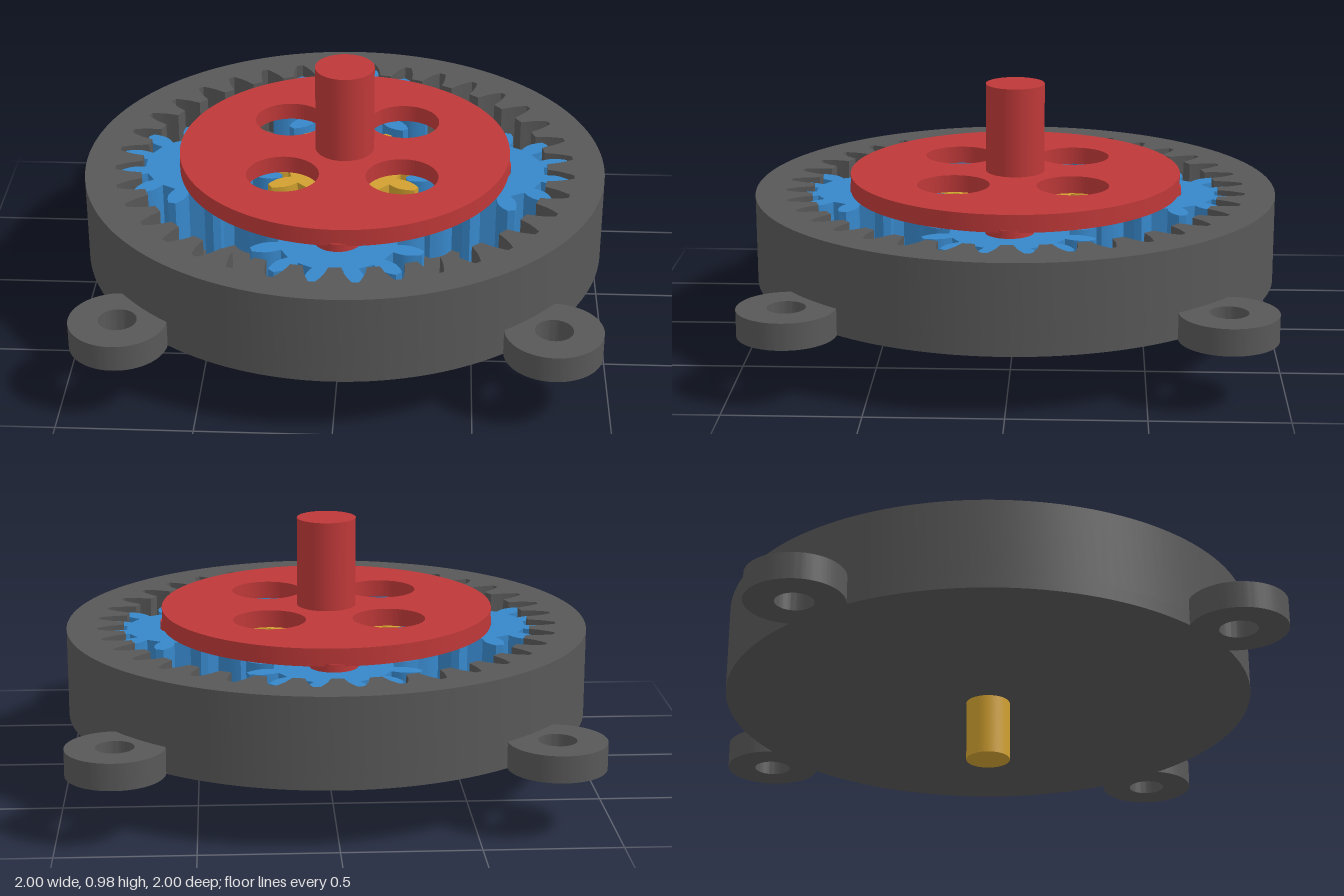
import * as THREE from 'three';
import { toCreasedNormals } from 'three/addons/utils/BufferGeometryUtils.js';

const steel = new THREE.MeshStandardMaterial({ name: 'housing grey', color: 0x585858 });
const red = new THREE.MeshStandardMaterial({ name: 'carrier red', color: 0xbe3838 });
const blue = new THREE.MeshStandardMaterial({ name: 'planet blue', color: 0x3787ca });
const gold = new THREE.MeshStandardMaterial({ name: 'sun gold', color: 0xd0a030 });

// Tooth flanks as [radius, half angle] from base to tip.
const PINION = [[0.219, 0.125], [0.245, 0.137], [0.262, 0.135], [0.277, 0.124], [0.3, 0.09], [0.323, 0.045]];
const RING_GAP = [[0.784, 0.058], [0.83, 0.0436], [0.86, 0.029], [0.885, 0.0145]];
const ORBIT = 0.553; // sun to planet distance

// Closed outline of a gear; phase is the angle of the first tooth.
function gearOutline(teeth, flank, phase) {
  const points = [];
  for (let i = 0; i < teeth; i++) {
    const a = phase + (i / teeth) * Math.PI * 2;
    const add = (r, t) => points.push(new THREE.Vector2(r * Math.cos(t), r * Math.sin(t)));
    flank.forEach(([r, h]) => add(r, a - h));
    [...flank].reverse().forEach(([r, h]) => add(r, a + h));
  }
  return points;
}

function circle(r, x = 0, y = 0, Type = THREE.Path) {
  return new Type().absarc(x, y, r, 0, Math.PI * 2, false);
}

// Extrude a flat outline upward between two heights.
function slab(name, shape, y0, y1, material) {
  const geo = new THREE.ExtrudeGeometry(shape, { depth: y1 - y0, bevelEnabled: false, curveSegments: 72 });
  geo.rotateX(-Math.PI / 2);
  geo.translate(0, y0, 0);
  const mesh = new THREE.Mesh(toCreasedNormals(geo, 0.35), material);
  mesh.name = name;
  return mesh;
}

function rod(name, r, y0, y1, material, segments = 48) {
  const mesh = new THREE.Mesh(new THREE.CylinderGeometry(r, r, y1 - y0, segments), material);
  mesh.position.y = (y0 + y1) / 2;
  mesh.name = name;
  return mesh;
}

export function createModel() {
  const model = new THREE.Group();
  model.name = 'planetaryGearbox';

  // Housing: floor plus internally toothed ring
  const housing = new THREE.Group();
  housing.name = 'housing';
  const ring = circle(1, 0, 0, THREE.Shape);
  ring.holes.push(new THREE.Path(gearOutline(36, RING_GAP, Math.PI / 36)));
  housing.add(slab('ringGear', ring, 0.28, 0.57, steel));
  const floor = circle(1, 0, 0, THREE.Shape);
  floor.holes.push(circle(0.084));
  housing.add(slab('housingFloor', floor, 0.23, 0.28, steel));

  // Four mounting lugs on the diagonals
  for (const sx of [-1, 1]) for (const sz of [-1, 1]) {
    const lug = circle(0.18, 0, 0, THREE.Shape);
    lug.holes.push(circle(0.07));
    const mesh = slab('mountingLug', lug, 0.23, 0.33, steel);
    mesh.position.set(sx * 0.787, 0, sz * 0.787);
    housing.add(mesh);
  }
  model.add(housing);

  // Sun gear and its input shaft
  const sun = new THREE.Group();
  sun.name = 'sun';
  sun.add(slab('sunGear', new THREE.Shape(gearOutline(12, PINION, 0)), 0.29, 0.55, gold));
  sun.add(rod('inputShaft', 0.083, 0, 0.3, gold));
  model.add(sun);

  // Carrier plate with four windows and the output shaft
  const carrier = new THREE.Group();
  carrier.name = 'carrier';
  const plate = circle(0.635, 0, 0, THREE.Shape);
  for (const sx of [-1, 1]) for (const sy of [-1, 1]) plate.holes.push(circle(0.137, sx * 0.225, sy * 0.225));
  carrier.add(slab('carrierPlate', plate, 0.57, 0.637, red));
  carrier.add(rod('outputShaft', 0.113, 0.6, 0.98, red));

  // Planet gears, each turning on a carrier pin
  for (let i = 0; i < 4; i++) {
    const a = (i * Math.PI) / 2;
    const x = ORBIT * Math.cos(a), z = ORBIT * Math.sin(a);
    const outline = new THREE.Shape(gearOutline(12, PINION, Math.PI / 12));
    outline.holes.push(circle(0.09));
    const planet = slab('planetGear', outline, 0.29, 0.55, blue);
    const pin = rod('planetPin', 0.088, 0.3, 0.58, red, 32);
    for (const part of [planet, pin]) {
      part.position.x = x;
      part.position.z = z;
    }
    model.add(planet);
    carrier.add(pin);
  }
  model.add(carrier);
  return model;
}
